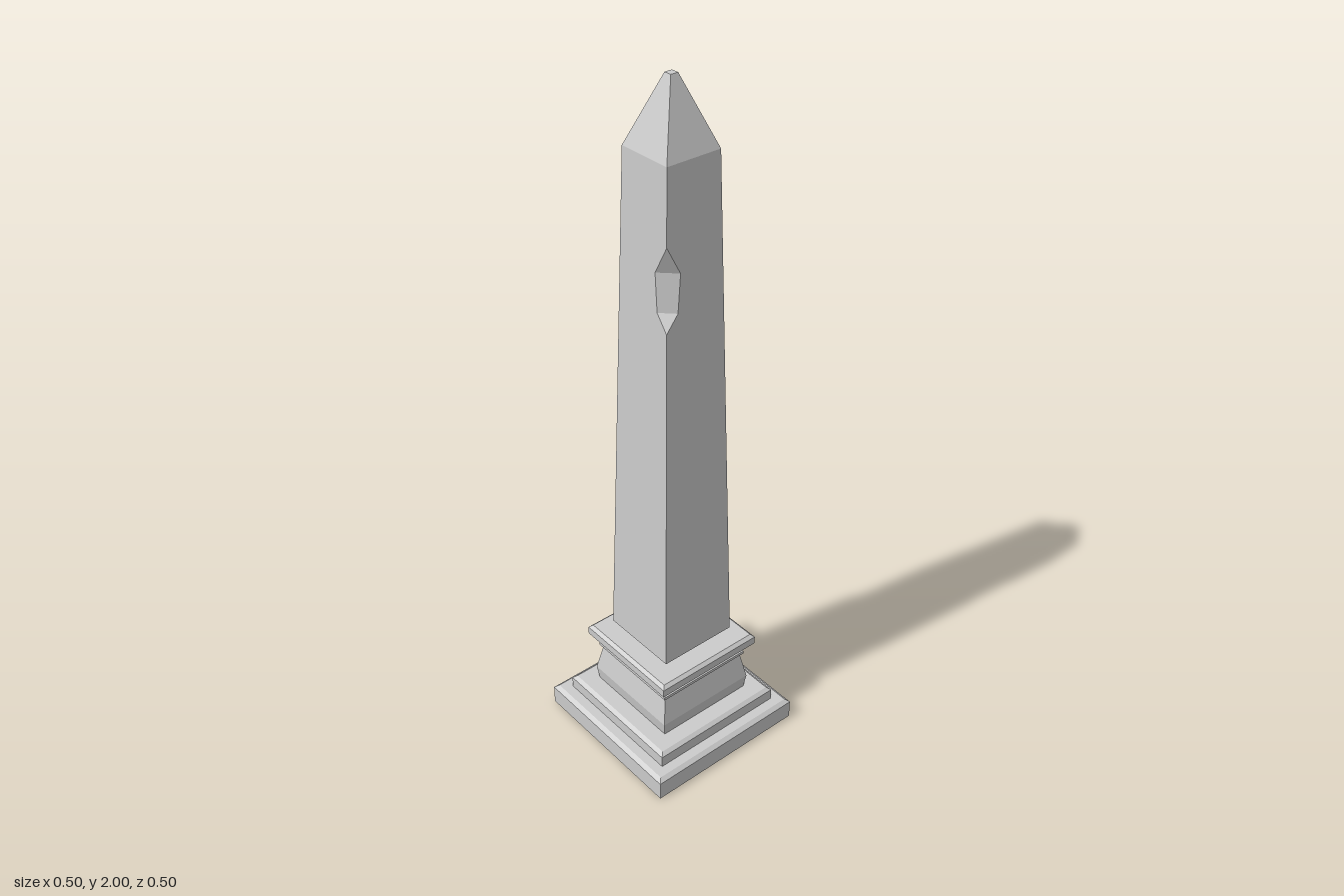
import * as THREE from 'three';

const material = new THREE.MeshStandardMaterial({ color: 0xcccccc, flatShading: true, side: THREE.DoubleSide });

// Shaft: half width tapers linearly between these heights
const BOTTOM = 0.342, TOP = 1.82, W0 = 0.12, W1 = 0.082;
const halfWidth = (y) => W0 + (W1 - W0) * (y - BOTTOM) / (TOP - BOTTOM);

// Chips broken out of two opposite corners: [x, y] outline on one face, going up
const corner = (y) => [halfWidth(y), y];
const upperChip = [corner(1.39), [0.056, 1.435], [0.046, 1.54], corner(1.62)];
const lowerChip = [corner(0.79), [-0.055 * -1, 0.95], corner(1.16)];

function addMesh(group, name, geometry) {
  const flat = geometry.index ? geometry.toNonIndexed() : geometry;
  flat.computeVertexNormals();
  const mesh = new THREE.Mesh(flat, material);
  mesh.name = name;
  group.add(mesh);
  return mesh;
}

// Square section swept up a profile of [half width, height]
function squareLathe(profile) {
  const points = profile.map(([w, y]) => new THREE.Vector2(w * Math.SQRT2, y));
  return new THREE.LatheGeometry(points, 4, Math.PI / 4);
}

// Tapered front face with a notch in its right edge (or left, when mirrored)
function shaftFace(chip, mirrored) {
  const outline = [[-W0, BOTTOM], [W0, BOTTOM], ...chip, [W1, TOP], [-W1, TOP]];
  const s = mirrored ? -1 : 1;
  const shape = new THREE.Shape(outline.map(([x, y]) => new THREE.Vector2(s * x, y)));
  const geometry = new THREE.ShapeGeometry(shape);
  const p = geometry.attributes.position;
  for (let i = 0; i < p.count; i++) p.setZ(i, halfWidth(p.getY(i)));
  return geometry;
}

// Broken surface spanning the two notched faces of a corner
function chipSurface(chip) {
  const positions = [];
  const front = ([x, y]) => [x, y, halfWidth(y)];
  const side = ([x, y]) => [halfWidth(y), y, x];
  for (let i = 0; i < chip.length - 1; i++) {
    const a = chip[i], b = chip[i + 1];
    if (i > 0) positions.push(...front(a), ...side(a), ...side(b));
    if (i < chip.length - 2) positions.push(...front(a), ...side(b), ...front(b));
  }
  const geometry = new THREE.BufferGeometry();
  geometry.setAttribute('position', new THREE.Float32BufferAttribute(positions, 3));
  return geometry;
}

export function createModel() {
  const model = new THREE.Group();
  model.name = 'obelisk';

  // Stepped plinth, open underneath
  addMesh(model, 'plinth', squareLathe([
    [0.252, 0], [0.252, 0.058], [0.24, 0.068],
    [0.211, 0.068], [0.211, 0.103], [0.2, 0.112], [0.152, 0.112],
  ]));

  // Pedestal with thin mouldings and a cornice
  addMesh(model, 'pedestal', squareLathe([
    [0.152, 0.112], [0.158, 0.155], [0.142, 0.238],
    [0.15, 0.243], [0.15, 0.252], [0.143, 0.256], [0.143, 0.262],
    [0.152, 0.265], [0.152, 0.272], [0.145, 0.278],
  ]));
  addMesh(model, 'cornice', squareLathe([
    [0.145, 0.278], [0.163, 0.278], [0.172, 0.286],
    [0.172, 0.31], [0.162, 0.319], [0.092, 0.319],
  ]));

  // Undercut foot of the shaft
  addMesh(model, 'shaftFoot', squareLathe([[0.092, 0.319], [W0, BOTTOM]]));

  // Shaft faces and chips, one chipped corner per half turn
  const shaft = new THREE.Group();
  shaft.name = 'shaft';
  model.add(shaft);
  [upperChip, lowerChip].forEach((chip, i) => {
    const half = new THREE.Group();
    half.name = i ? 'backHalf' : 'frontHalf';
    half.rotation.y = i * Math.PI;
    addMesh(half, 'shaftFace', shaftFace(chip, false));
    addMesh(half, 'shaftSideFace', shaftFace(chip, true)).rotation.y = Math.PI / 2;
    addMesh(half, 'cornerChip', chipSurface(chip));
    shaft.add(half);
  });

  // Pyramid tip with a small flat top
  addMesh(model, 'tip', squareLathe([[W1, TOP], [0.011, 2], [0, 2]]));

  return model;
}
